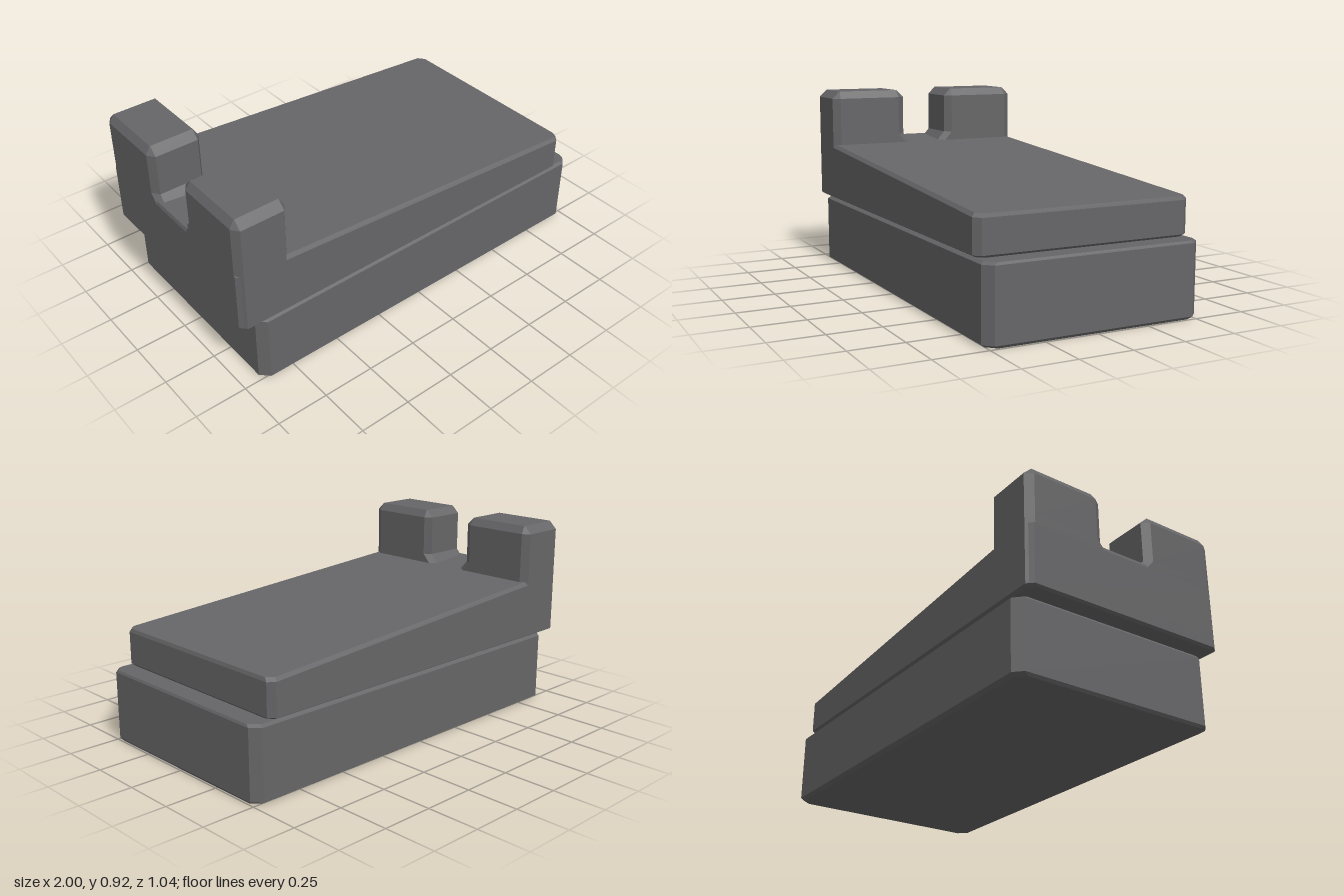
import * as THREE from 'three';

const stone = new THREE.MeshStandardMaterial({ color: 0x666668 });
stone.name = 'dark grey';

// Rectangle with cut corners, counter-clockwise from above
function ring({ y, x0, x1, z0, z1, cx, cz }) {
  const h = typeof y === 'function' ? y : () => y;
  return [
    [x0 + cx, z1], [x1 - cx, z1], [x1, z1 - cz], [x1, z0 + cz],
    [x1 - cx, z0], [x0 + cx, z0], [x0, z0 + cz], [x0, z1 - cz],
  ].map(([x, z]) => [x, h(x), z]);
}

// Flat-faced solid skinned over rings from bottom to top
function loft(name, sections) {
  const rings = sections.map(ring);
  const pos = [];
  const tri = (a, b, c) => pos.push(...a, ...b, ...c);
  for (let r = 0; r < rings.length - 1; r++) {
    for (let i = 0; i < 8; i++) {
      const j = (i + 1) % 8, lo = rings[r], hi = rings[r + 1];
      tri(lo[i], lo[j], hi[j]);
      tri(lo[i], hi[j], hi[i]);
    }
  }
  const bottom = rings[0], top = rings[rings.length - 1];
  for (let i = 1; i < 7; i++) {
    tri(top[0], top[i], top[i + 1]);
    tri(bottom[0], bottom[i + 1], bottom[i]);
  }
  const geometry = new THREE.BufferGeometry();
  geometry.setAttribute('position', new THREE.Float32BufferAttribute(pos, 3));
  geometry.computeVertexNormals();
  const mesh = new THREE.Mesh(geometry, stone);
  mesh.name = name;
  return mesh;
}

// Copy of a section at another height, drawn in on all sides
const inset = (s, y, dx, dz) => ({
  ...s, y, x0: s.x0 + dx, x1: s.x1 - dx, z0: s.z0 + dz, z1: s.z1 - dz,
});

export function createModel() {
  const model = new THREE.Group();
  model.name = 'slottedBlock';

  // Lower slab
  const slab = { x0: -0.915, x1: 1, z0: -0.52, z1: 0.52, cx: 0.04, cz: 0.04 };
  model.add(loft('baseSlab', [
    inset(slab, 0, 0.01, 0.02),
    { ...slab, y: 0.013 },
    { ...slab, y: 0.336 },
    inset(slab, 0.347, 0.006, 0.015),
  ]));

  // Upper wedge, its top falling toward +x
  const slope = (x) => 0.635 - (x + 0.74) * 0.067;
  const wedge = { x0: -1, x1: 0.91, z0: -0.52, z1: 0.52, cx: 0.028, cz: 0.03 };
  model.add(loft('wedge', [
    inset(wedge, 0.346, 0.01, 0.02),
    { ...wedge, y: 0.357 },
    { ...wedge, y: (x) => slope(x) - 0.016 },
    inset(wedge, slope, 0.006, 0.014),
  ]));

  // Two rear-sight style posts with a flared foot on the slot side
  for (const side of [1, -1]) {
    const post = (y, inner, d = 0, c = 1) => {
      const z = [side * (inner + d * 1.6), side * (0.52 - d * 1.6)];
      return {
        y, x0: -1 + d, x1: -0.74 - d, z0: Math.min(...z), z1: Math.max(...z),
        cx: 0.025 * c, cz: 0.036 * c,
      };
    };
    model.add(loft(side > 0 ? 'frontPost' : 'backPost', [
      post(0.36, 0.12),
      post(0.6, 0.12),
      post(0.632, 0.08),
      post(0.68, 0.122),
      post(0.878, 0.122),
      post(0.915, 0.122, 0.024, 0.05),
    ]));
  }
  return model;
}
